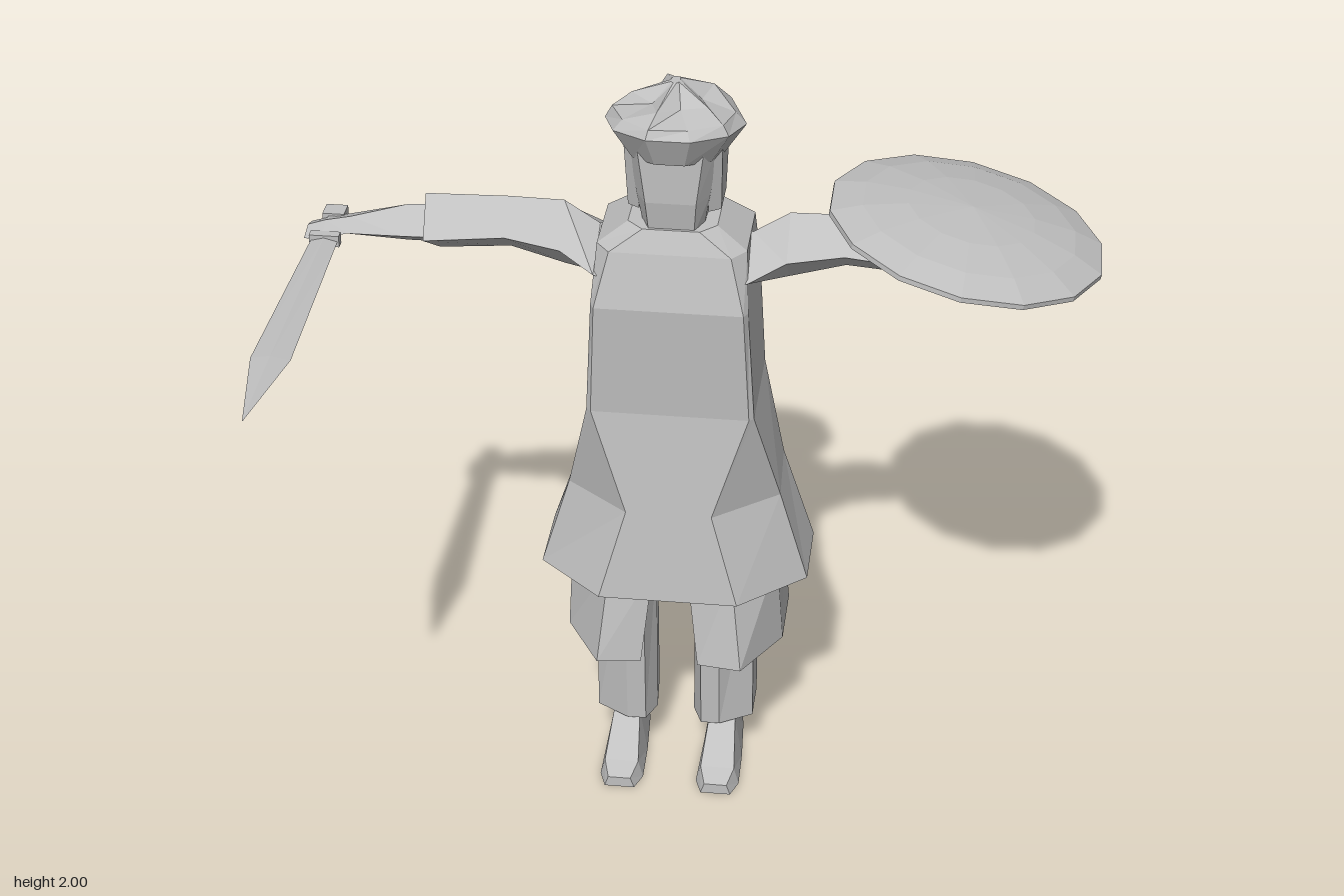
import * as THREE from 'three';

const CX = -0.064; // centre plane of the figure

const grey = new THREE.MeshStandardMaterial({ color: 0xc0c0c0, flatShading: true, side: THREE.DoubleSide });
grey.name = 'plain grey';

// Skin a list of equal-length rings; options: closed loop, caps at start and end
function loft(rings, { closed = true, start = true, end = true } = {}) {
  const pos = [];
  const tri = (a, b, c) => pos.push(...a, ...b, ...c);
  const n = rings[0].length;
  for (let i = 0; i < rings.length - 1; i++) {
    for (let j = 0; j < (closed ? n : n - 1); j++) {
      const k = (j + 1) % n;
      const [a, b, c, d] = [rings[i][j], rings[i][k], rings[i + 1][k], rings[i + 1][j]];
      tri(a, b, c);
      tri(a, c, d);
    }
  }
  const cap = (ring, flip) => {
    const m = [0, 1, 2].map(q => ring.reduce((s, p) => s + p[q], 0) / n);
    ring.forEach((p, j) => {
      const r = ring[(j + 1) % n];
      flip ? tri(m, r, p) : tri(m, p, r);
    });
  };
  if (closed && start) cap(rings[0], true);
  if (closed && end) cap(rings[rings.length - 1], false);
  const g = new THREE.BufferGeometry();
  g.setAttribute('position', new THREE.Float32BufferAttribute(pos, 3));
  g.computeVertexNormals();
  return g;
}

// Horizontal ring from its +x half, listed front to back as [x, z]
const sym = (y, half) => [
  ...half.map(([x, z]) => [CX + x, y, z]),
  ...half.slice().reverse().map(([x, z]) => [CX - x, y, z]),
];

// Diamond section of a limb running along x
const limb = (x, top, bottom, front, back, ridge = -0.31) => [
  [x, top, ridge], [x, (top + bottom) / 2, front], [x, bottom, ridge], [x, (top + bottom) / 2, back],
];

// Place rings on one side of the centre plane, keeping the winding outward
const onSide = (rings, s) => rings.map(r => {
  const m = r.map(([x, y, z]) => [CX + s * x, y, z]);
  return s < 0 ? m.reverse() : m;
});

export function createModel() {
  const model = new THREE.Group();
  model.name = 'swordsman';
  const add = (name, geometry, parent = model) => {
    const mesh = new THREE.Mesh(geometry, grey);
    mesh.name = name;
    parent.add(mesh);
    return mesh;
  };

  // Long robe, flaring to the hem
  add('robe', loft([
    sym(0.61, [[0.18, -0.07], [0.35, -0.22], [0.35, -0.43], [0.28, -0.49]]),
    sym(0.86, [[0.11, -0.10], [0.275, -0.23], [0.265, -0.44], [0.21, -0.475]]),
    sym(1.14, [[0.20, -0.13], [0.212, -0.14], [0.212, -0.43], [0.15, -0.445]]),
    sym(1.45, [[0.185, -0.11], [0.195, -0.13], [0.195, -0.43], [0.13, -0.44]]),
    sym(1.59, [[0.15, -0.145], [0.185, -0.19], [0.185, -0.39], [0.12, -0.41]]),
    sym(1.645, [[0.07, -0.17], [0.11, -0.21], [0.11, -0.36], [0.07, -0.39]]),
  ], { start: false }));

  // Under-skirt, split at the front
  add('underSkirt', loft([
    sym(0.39, [[0.075, -0.10], [0.19, -0.085], [0.287, -0.25], [0.287, -0.44], [0.2, -0.48]]),
    sym(0.66, [[0.045, -0.13], [0.16, -0.13], [0.27, -0.23], [0.265, -0.43], [0.19, -0.44]]),
  ], { closed: false }));

  // Legs and feet
  for (const [s, side] of [[1, 'left'], [-1, 'right']]) {
    const trouser = (y, zf, zb) => [
      [0.075, zf], [0.125, zf], [0.21, -0.24], [0.21, zb + 0.03], [0.15, zb], [0.06, zb + 0.02], [0.05, -0.25],
    ].map(([x, z]) => [x, y, z]);
    add(side + 'Trouser', loft(onSide([trouser(0.13, -0.19, -0.39), trouser(0.64, -0.165, -0.37)], s),
      { start: false }));

    // Foot sections from heel to toe: [z, height, top half width, bottom half width]
    const foot = [
      [-0.36, 0.14, 0.035, 0.045], [-0.22, 0.13, 0.035, 0.055],
      [-0.10, 0.05, 0.045, 0.058], [-0.05, 0.03, 0.03, 0.04],
    ].map(([z, h, t, b]) => [[0.13 - b, 0.005, z], [0.13 + b, 0.005, z], [0.13 + t, h, z], [0.13 - t, h, z]]
      .map(([x, y, zz]) => [x, y === 0.005 ? 0 : y, zz]));
    add(side + 'Foot', loft(onSide(foot, s)));
  }

  // Sleeves, shared by both sides
  const sleeve = [
    limb(0.13, 1.60, 1.44, -0.13, -0.42, -0.29),
    limb(0.19, 1.59, 1.45, -0.15, -0.42, -0.29),
    limb(0.28, 1.643, 1.465, -0.20, -0.43, -0.30),
    limb(0.42, 1.64, 1.50, -0.22, -0.41),
    limb(0.60, 1.635, 1.485, -0.20, -0.44),
  ];
  sleeve[4][0][0] = 0.63; // slanted cuff
  sleeve[4][1][0] = 0.62;
  sleeve[4][3][0] = 0.58;
  // Forearm and hand of each side
  const forearms = {
    right: [
      limb(0.56, 1.61, 1.50, -0.23, -0.40), limb(0.68, 1.60, 1.50, -0.235, -0.39),
      limb(0.82, 1.568, 1.525, -0.24, -0.35, -0.29), limb(0.88, 1.565, 1.52, -0.21, -0.33, -0.27),
      limb(0.925, 1.55, 1.525, -0.22, -0.31, -0.27),
    ],
    left: [
      limb(0.56, 1.61, 1.49, -0.23, -0.40), limb(0.68, 1.59, 1.49, -0.235, -0.39),
      limb(0.80, 1.53, 1.485, -0.24, -0.35, -0.29), limb(0.86, 1.53, 1.48, -0.21, -0.34, -0.27),
      limb(0.912, 1.515, 1.478, -0.24, -0.31, -0.27),
    ],
  };
  for (const [s, side] of [[1, 'left'], [-1, 'right']]) {
    add(side + 'Sleeve', loft(onSide(sleeve, s)));
    add(side + 'Forearm', loft(onSide(forearms[side], s)));
  }

  // Head, tapering to the chin, with side cloth behind the face
  add('head', loft([
    sym(1.63, [[0.055, -0.18], [0.075, -0.23], [0.08, -0.36], [0.05, -0.39]]),
    sym(1.72, [[0.062, -0.165], [0.09, -0.22], [0.095, -0.37], [0.05, -0.40]]),
    sym(1.86, [[0.08, -0.165], [0.11, -0.22], [0.115, -0.38], [0.06, -0.41]]),
  ]));
  for (const [s, side] of [[1, 'left'], [-1, 'right']]) {
    const flap = (y, a, b, zf, zb) => [[a, y, zf], [b, y, zf - 0.02], [b, y, zb], [a, y, zb]];
    add(side + 'HeadCloth', loft(onSide([
      flap(1.67, 0.085, 0.115, -0.23, -0.36), flap(1.85, 0.09, 0.12, -0.20, -0.39),
    ], s)));
  }

  // Turban: a wide band that drops toward the back, with a folded peaked crown
  const turbanRing = (y, rx, rz, tilt, wave = 0) => Array.from({ length: 10 }, (_, i) => {
    const a = (i + 0.5) / 10 * Math.PI * 2;
    const k = 1 + (i % 2 ? wave : -wave);
    return [CX + Math.sin(a) * rx * k, y + Math.cos(a) * tilt + (i % 2 ? wave * 0.04 : 0), -0.275 + Math.cos(a) * rz * k];
  });
  add('turban', loft([
    turbanRing(1.81, 0.118, 0.135, 0.025),
    turbanRing(1.89, 0.172, 0.172, 0.025),
    turbanRing(1.92, 0.15, 0.155, 0.015, 0.03),
    turbanRing(1.95, 0.085, 0.09, 0, 0.25),
    turbanRing(1.997, 0.012, 0.02, 0),
  ]));

  // Round domed shield over the left forearm
  const profile = [
    [0, 0.035], [0.16, 0.026], [0.27, 0.006], [0.335, -0.018], [0.346, -0.012],
    [0.346, 0.001], [0.27, 0.027], [0.16, 0.047], [0, 0.06],
  ].map(([x, y]) => new THREE.Vector2(x, y));
  const shield = add('shield', new THREE.LatheGeometry(profile, 14));
  shield.position.set(0.648, 1.634, -0.29);
  shield.rotation.z = -0.2;

  // Sword held forward in the right hand
  const sword = new THREE.Group();
  sword.name = 'sword';
  sword.position.set(-0.936, 1.538, 0);
  model.add(sword);
  const blade = [[-0.25, 0.022], [-0.21, 0.034], [0.36, 0.048], [0.63, 0.001]]
    .map(([z, w]) => [[-w, 0, z], [0, -0.009 * Math.min(1, w * 30), z], [w, 0, z], [0, 0.009 * Math.min(1, w * 30), z]]);
  add('blade', loft(blade), sword);
  add('grip', new THREE.BoxGeometry(0.026, 0.022, 0.14), sword).position.z = -0.28;
  add('pommel', new THREE.BoxGeometry(0.055, 0.035, 0.05), sword).position.z = -0.345;
  add('guard', new THREE.BoxGeometry(0.075, 0.03, 0.025), sword).position.z = -0.222;

  return model;
}
